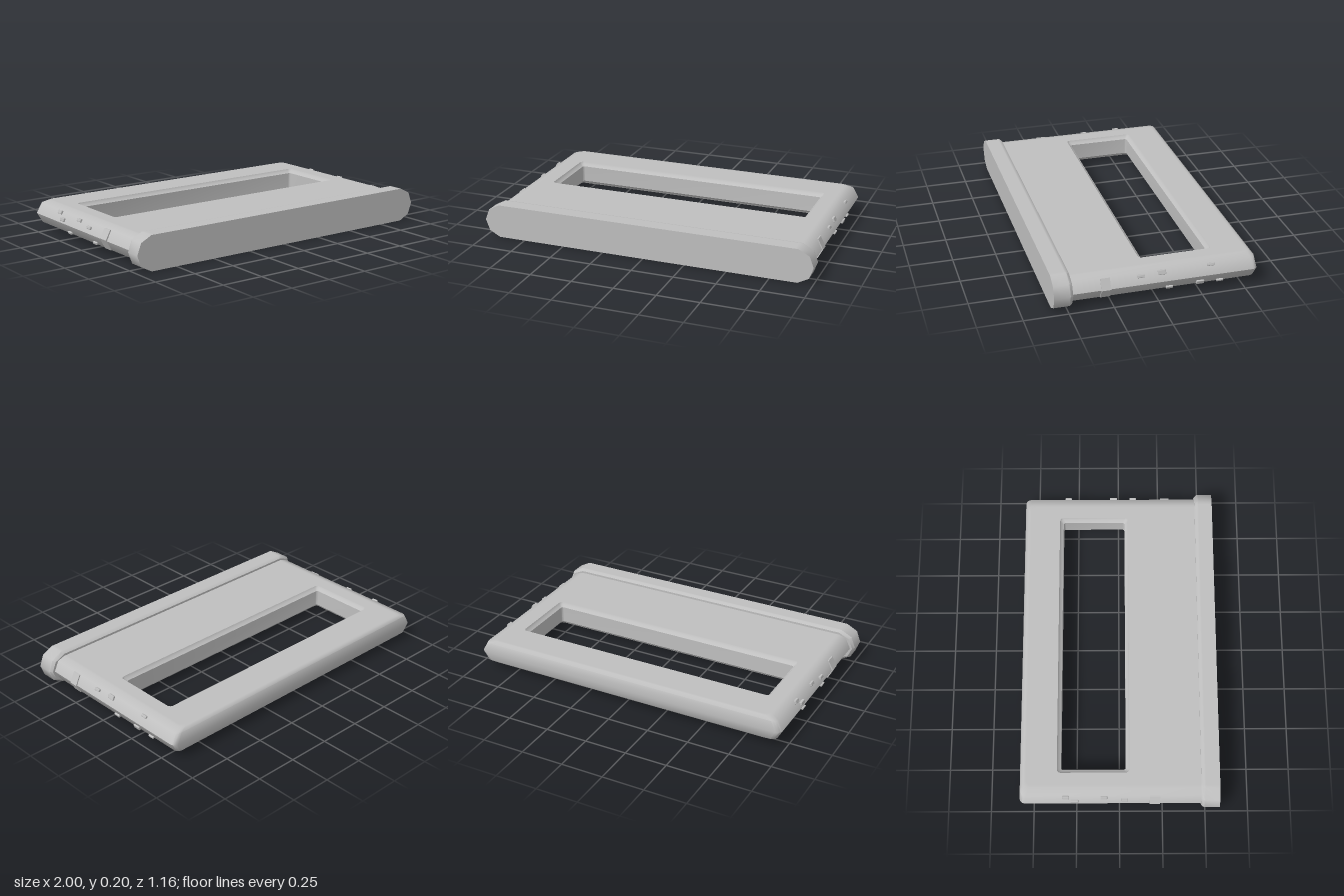
import * as THREE from 'three';
import { toCreasedNormals } from 'three/addons/utils/BufferGeometryUtils.js';
import { RoundedBoxGeometry } from 'three/addons/geometries/RoundedBoxGeometry.js';

// Skin a list of equal-length point loops; optionally join last loop to first
function loft(loops, closed, crease = 0.9) {
  const n = loops[0].length, index = [];
  const last = closed ? loops.length : loops.length - 1;
  for (let i = 0; i < last; i++) {
    const k = (i + 1) % loops.length;
    for (let j = 0; j < n; j++) {
      const m = (j + 1) % n;
      const a = i * n + j, b = k * n + j, c = k * n + m, d = i * n + m;
      index.push(a, b, d, b, c, d);
    }
  }
  const g = new THREE.BufferGeometry();
  g.setAttribute('position', new THREE.Float32BufferAttribute(loops.flat(2), 3));
  g.setIndex(index);
  return toCreasedNormals(g.toNonIndexed(), crease);
}

// Rounded rectangle in plan at height y
function planLoop(y, halfX, zBack, zFront, r) {
  const pts = [];
  const corners = [[1, 1], [-1, 1], [-1, -1], [1, -1]];
  corners.forEach(([sx, sz], q) => {
    for (let s = 0; s <= 3; s++) {
      const a = (q + s / 3) * Math.PI / 2;
      const cz = sz > 0 ? zFront - r : zBack + r;
      pts.push([sx * (halfX - r) + r * Math.cos(a), y, cz + r * Math.sin(a)]);
    }
  });
  return pts;
}

// Outward x of the body's rounded side at height y
const sideProfile = [[0.03, 0.90], [0.045, 0.945], [0.1, 0.975], [0.16, 0.945], [0.175, 0.90]];
function sideX(y) {
  for (let i = 1; i < sideProfile.length; i++) {
    const [y0, x0] = sideProfile[i - 1], [y1, x1] = sideProfile[i];
    if (y <= y1) return x0 + (x1 - x0) * (y - y0) / (y1 - y0);
  }
  return 0.9;
}

// Flat frame with a rectangular window through it
function bodyGeometry() {
  const backInset = [0.025, 0.008, 0, 0.008, 0.025];
  const outer = sideProfile.map(([y, x], i) => planLoop(y, x, -0.58 + backInset[i], 0.5, 0.03));
  const hole = (y, d) => planLoop(y, 0.79 + d, -0.34 - d, 0.037 + d, 0.012 + d * 0.4);
  const flat = y => planLoop(y, 0.885, -0.54, 0.495, 0.03);
  return loft([
    flat(0.03), ...outer, flat(0.175),
    hole(0.175, 0.03), hole(0.175, 0.022), hole(0.163, 0.016), hole(0.152, 0),
    hole(0.053, 0), hole(0.042, 0.016), hole(0.03, 0.022), hole(0.03, 0.03),
  ], true);
}

// Faceted capsule bar closing the front edge
function baseGeometry() {
  const quarter = [[0.89, 0.1], [0.91, 0.1], [0.975, 0.066], [1, 0]];
  const lower = quarter.slice(0, 3).reverse().map(([x, y]) => [x, -y]);
  const right = [...quarter, ...lower];
  const outline = [...right, ...right.map(([x, y]) => [-x, -y])];
  const ring = (z, inset) => outline.map(([x, y]) =>
    [x - Math.sign(x) * inset, 0.1 + y * (1 - inset / 0.1), z]);
  const centre = z => outline.map(([x]) => [Math.sign(x) * 0.85, 0.1, z]);
  return loft([centre(0.473), ring(0.473, 0.012), ring(0.489, 0), ring(0.497, 0),
    ring(0.58, 0), centre(0.58)], false, 0.75);
}

// Thin raised pad that follows the rounded side
function padGeometry(z0, z1) {
  const ys = [0.045, 0.06, 0.1, 0.14, 0.16];
  const shape = new THREE.Shape();
  shape.moveTo(0.92, 0.045);
  ys.forEach(y => shape.lineTo(sideX(y) + 0.007, y));
  shape.lineTo(0.92, 0.16);
  shape.closePath();
  const g = new THREE.ExtrudeGeometry(shape, { depth: z1 - z0, bevelEnabled: false });
  g.translate(0, 0, z0);
  return toCreasedNormals(g, 0.7);
}

export function createModel() {
  const model = new THREE.Group();
  const grey = new THREE.MeshStandardMaterial({ color: 0xbfbfbf });
  grey.name = 'grey';
  const add = (geometry, name) => {
    const mesh = new THREE.Mesh(geometry, grey);
    mesh.name = name;
    model.add(mesh);
    return mesh;
  };

  add(bodyGeometry(), 'windowFrame');
  add(baseGeometry(), 'frontBar');

  // Raised pads near the front bar
  add(padGeometry(0.262, 0.315), 'leftPad');
  const rightPad = add(padGeometry(0.175, 0.235), 'rightPad');
  rightPad.geometry.rotateZ(Math.PI);
  rightPad.position.y = 0.205;

  // Small nubs on both sides: z, y, length, height
  const leftNubs = [
    [0.09, 0.142, 0.04, 0.018], [-0.03, 0.147, 0.045, 0.027], [-0.31, 0.152, 0.04, 0.016],
    [-0.075, 0.054, 0.04, 0.017], [-0.25, 0.06, 0.045, 0.024], [-0.365, 0.053, 0.04, 0.014],
  ];
  const rightNubs = [
    [0.03, 0.13, 0.04, 0.018], [-0.09, 0.147, 0.04, 0.02], [-0.31, 0.15, 0.04, 0.022],
    [-0.26, 0.12, 0.045, 0.022], [0.08, 0.056, 0.04, 0.016], [-0.2, 0.055, 0.04, 0.016],
  ];
  [[1, leftNubs, 'leftNub'], [-1, rightNubs, 'rightNub']].forEach(([side, nubs, name]) => {
    nubs.forEach(([z, y, length, height]) => {
      const nub = add(new RoundedBoxGeometry(0.03, height, length, 1, 0.004), name);
      nub.position.set(side * (sideX(y) - 0.004), y, z);
      nub.rotation.z = side * (y - 0.1) * 8;
    });
  });
  return model;
}
